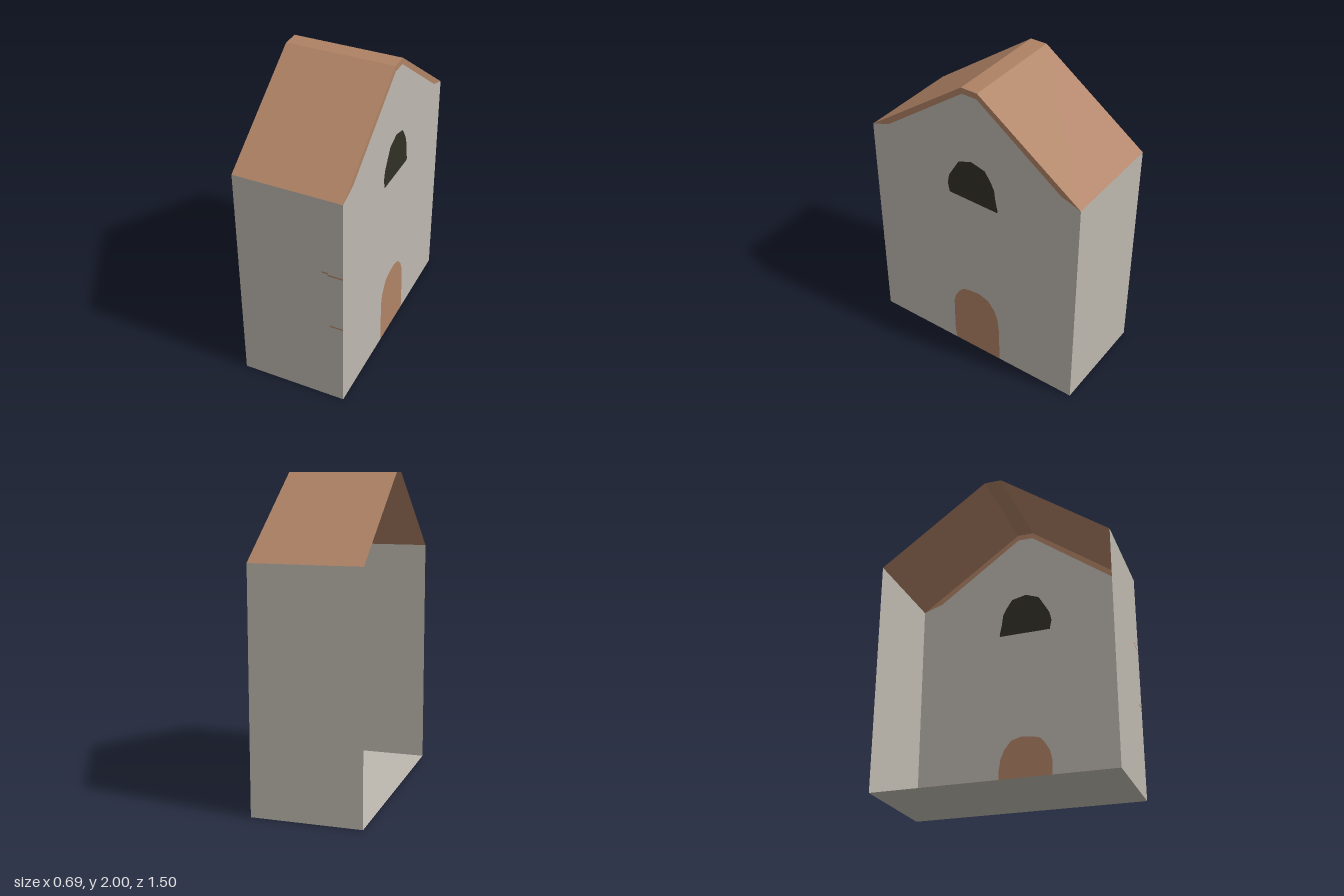
import * as THREE from 'three';

const HALF = 0.344; // half depth along x

const material = (name, color) => {
  const m = new THREE.MeshStandardMaterial({ color, side: THREE.DoubleSide });
  m.name = name;
  return m;
};

const toPoints = (list) => list.map(([x, y]) => new THREE.Vector2(x, y));

export function createModel() {
  const group = new THREE.Group();
  group.name = 'house';
  const stone = material('grey plaster', 0xbdb8af);
  const clay = material('terracotta', 0xaf8265);
  const dark = material('dark opening', 0x313026);

  const add = (name, geometry, mat) => {
    const mesh = new THREE.Mesh(geometry, mat);
    mesh.name = name;
    group.add(mesh);
    return mesh;
  };

  // Shell: one flat panel per segment of the (z, y) outline
  const outline = [[0.75, 0], [0.75, 1.5], [0.055, 2], [-0.055, 2], [-0.75, 1.5], [-0.75, 0]];
  const panels = [
    ['frontWall', stone], ['frontRoof', clay], ['roofRidge', clay],
    ['backRoof', clay], ['backWall', stone], ['floor', stone],
  ];
  panels.forEach(([name, mat], i) => {
    const [z0, y0] = outline[i];
    const [z1, y1] = outline[(i + 1) % outline.length];
    const length = Math.hypot(z1 - z0, y1 - y0);
    const mesh = add(name, new THREE.PlaneGeometry(2 * HALF, length), mat);
    mesh.position.set(0, (y0 + y1) / 2, (z0 + z1) / 2);
    mesh.rotation.x = Math.atan2(z1 - z0, y1 - y0);
  });

  // Gable side at +x, drawn flat and turned to face +x; the opposite side is open
  const addGablePart = (name, shape, mat) => {
    const mesh = add(name, new THREE.ShapeGeometry(shape), mat);
    mesh.rotation.y = Math.PI / 2;
    mesh.position.x = HALF;
  };

  const door = toPoints([
    [-0.155, 0], [-0.165, 0.08], [-0.165, 0.33], [-0.15, 0.39], [-0.12, 0.44], [-0.09, 0.475],
    [-0.04, 0.49], [0.04, 0.498], [0.11, 0.475], [0.155, 0.42], [0.18, 0.36], [0.193, 0.28], [0.2, 0],
  ]);
  const window = toPoints([
    [-0.165, 1.235], [-0.178, 1.3], [-0.165, 1.36], [-0.13, 1.42], [-0.09, 1.487], [-0.04, 1.505],
    [0, 1.52], [0.05, 1.508], [0.1, 1.495], [0.14, 1.435], [0.165, 1.385], [0.175, 1.31],
    [0.19, 1.24], [0.185, 1.228],
  ]);
  const eaves = toPoints([
    [0.75, 1.5], [0.62, 1.545], [0.05, 1.962], [-0.05, 1.962], [-0.62, 1.545], [-0.75, 1.5],
  ]);

  // Wall outline runs around the doorway and has a hole for the window
  const wall = new THREE.Shape([...toPoints([[-0.75, 0]]), ...door, ...toPoints([[0.75, 0]]), ...eaves]);
  wall.holes.push(new THREE.Path(window));
  addGablePart('gableWall', wall, stone);
  addGablePart('door', new THREE.Shape(door), clay);
  addGablePart('archedWindow', new THREE.Shape(window), dark);

  // Roof edge band between the wall top and the roof line
  const band = [...toPoints([[-0.75, 1.5], [-0.055, 2], [0.055, 2]]), ...eaves.slice(0, -1)];
  addGablePart('roofTrim', new THREE.Shape(band), clay);

  // Small clay streaks on the front wall
  [[0.23, 0.99, 0.04], [0.295, 0.977, 0.098], [0.302, 0.588, 0.084]].forEach(([x, y, w]) => {
    const mesh = add('wallStreak', new THREE.PlaneGeometry(w, 0.01), clay);
    mesh.position.set(x, y, 0.752);
  });

  return group;
}
